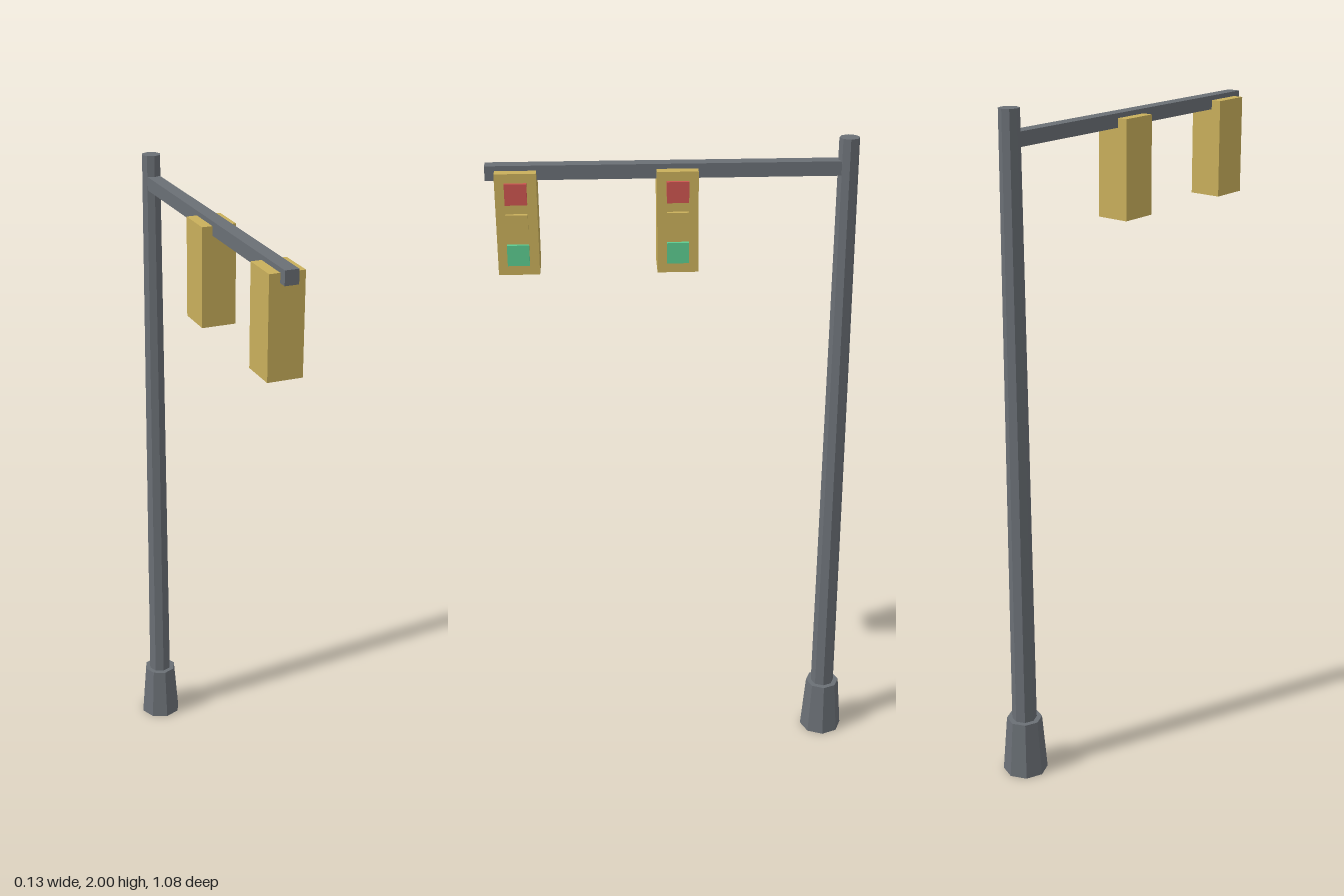
import * as THREE from 'three';

const flat = (name, color) => {
  const m = new THREE.MeshStandardMaterial({ color, flatShading: true });
  m.name = name;
  return m;
};

export function createModel() {
  const metal = flat('grey metal', 0x6a6f75);
  const yellow = flat('housing yellow', 0xc9af5b);
  const red = flat('red lamp', 0xcc5550);
  const green = flat('green lamp', 0x5ccb90);

  const model = new THREE.Group();
  model.name = 'trafficLight';

  const add = (parent, name, geometry, material, x, y, z) => {
    const mesh = new THREE.Mesh(geometry, material);
    mesh.name = name;
    mesh.position.set(x, y, z);
    parent.add(mesh);
  };

  // Tapered octagonal pole and its flared foot
  const poleZ = -0.474;
  add(model, 'base', new THREE.CylinderGeometry(0.053, 0.067, 0.175, 8), metal, 0, 0.0875, poleZ);
  add(model, 'pole', new THREE.CylinderGeometry(0.029, 0.037, 1.83, 8), metal, 0, 1.085, poleZ);

  // Square arm reaching forward from the pole
  add(model, 'arm', new THREE.BoxGeometry(0.04, 0.041, 1.0), metal, 0, 1.9165, 0.041);

  // Two signal heads, lamps on the +x side
  const housing = new THREE.BoxGeometry(0.102, 0.292, 0.116);
  const lamp = new THREE.BoxGeometry(0.024, 0.06, 0.062);
  const lamps = [['redLamp', red], ['amberLamp', yellow], ['greenLamp', green]];
  for (const z of [0.007, 0.456]) {
    const head = new THREE.Group();
    head.name = 'signalHead';
    head.position.set(0, 1.777, z);
    add(head, 'housing', housing, yellow, 0, 0, 0);
    lamps.forEach(([name, material], i) => add(head, name, lamp, material, 0.05, 0.09 - i * 0.088, 0));
    model.add(head);
  }
  return model;
}
